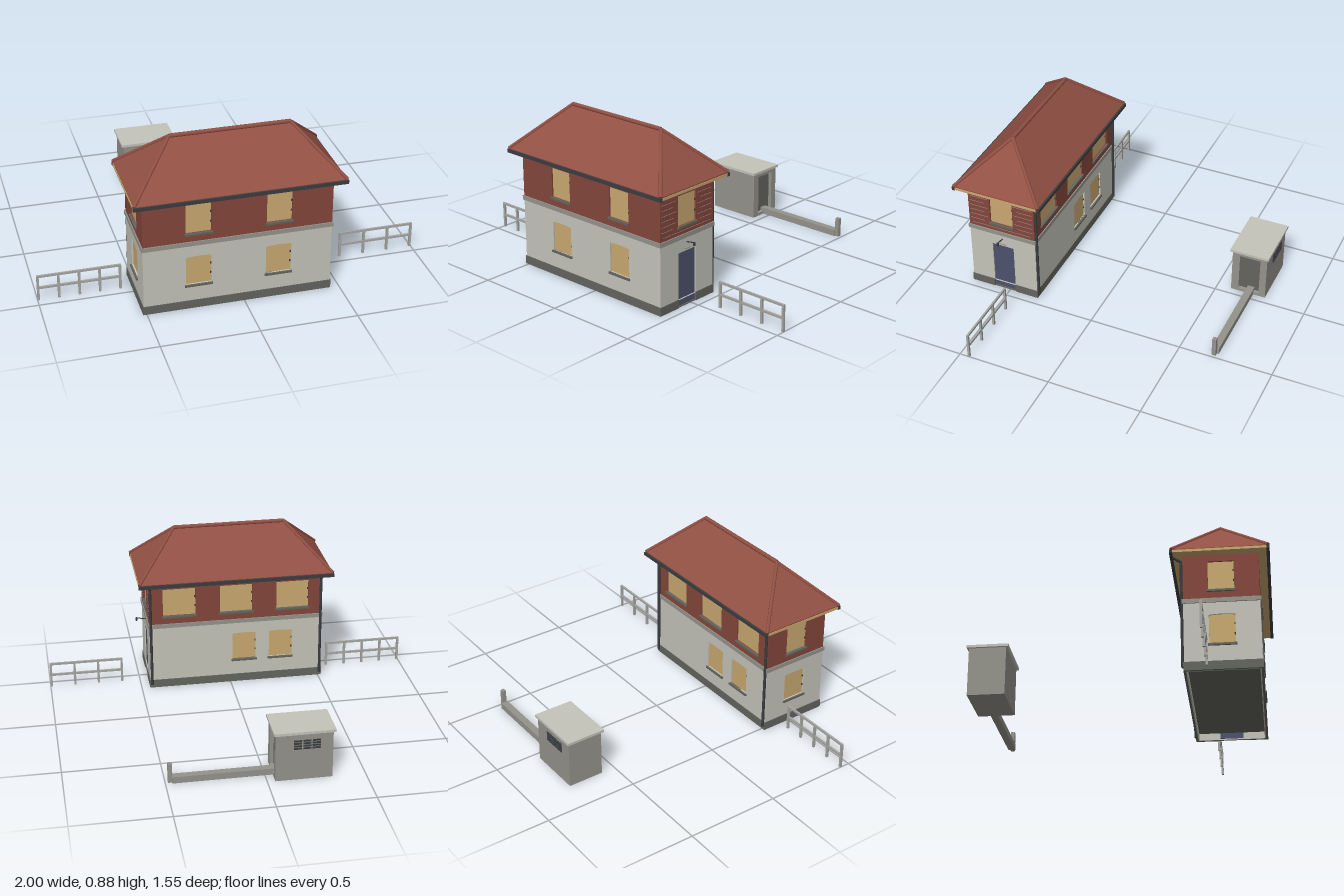
import * as THREE from 'three';

const material = (name, color) => new THREE.MeshStandardMaterial({ name, color });

export function createModel() {
  const model = new THREE.Group();
  model.name = 'trackside building';
  const wall = material('pale render', 0xc4c4ba);
  const brick = material('red brick', 0x84463b);
  const tile = material('roof tile', 0x925044);
  const board = material('tan board', 0xc9a870);
  const blue = material('door blue', 0x4d526d);
  const dark = material('dark metal', 0x3a3d40);
  const base = material('dark concrete', 0x63655e);
  const stone = material('grey stone', 0x94938b);
  const steel = material('light steel', 0xa6a6a2);

  // Box given by its limits on each axis
  function box(name, mat, x0, x1, y0, y1, z0, z1, parent = model) {
    const mesh = new THREE.Mesh(new THREE.BoxGeometry(x1 - x0, y1 - y0, z1 - z0), mat);
    mesh.position.set((x0 + x1) / 2, (y0 + y1) / 2, (z0 + z1) / 2);
    mesh.name = name;
    parent.add(mesh);
    return mesh;
  }
  // Round bar between two points
  function bar(name, mat, a, b, r, parent = model) {
    const p = new THREE.Vector3(...a), q = new THREE.Vector3(...b);
    const mesh = new THREE.Mesh(new THREE.CylinderGeometry(r, r, p.distanceTo(q), 8), mat);
    mesh.position.copy(p).lerp(q, 0.5);
    mesh.quaternion.setFromUnitVectors(new THREE.Vector3(0, 1, 0), q.sub(p).normalize());
    mesh.name = name;
    parent.add(mesh);
  }

  const X0 = -0.515, X1 = 0.45, Z0 = 0.338, Z1 = 0.718;
  const CX = (X0 + X1) / 2, CZ = (Z0 + Z1) / 2, T = 0.02;

  // Wall panel with openings; local z = 0 is its outer face
  function panel(side, name, mat, width, y0, y1, openings) {
    const h = width / 2;
    const shape = new THREE.Shape([[-h, y0], [h, y0], [h, y1], [-h, y1]].map(p => new THREE.Vector2(...p)));
    for (const o of openings) {
      const hole = new THREE.Path();
      hole.moveTo(o.u - o.w / 2, o.y0);
      hole.lineTo(o.u - o.w / 2, o.y1 - o.arch);
      hole.quadraticCurveTo(o.u, o.y1 + o.arch, o.u + o.w / 2, o.y1 - o.arch);
      hole.lineTo(o.u + o.w / 2, o.y0);
      hole.closePath();
      shape.holes.push(hole);
    }
    const geo = new THREE.ExtrudeGeometry(shape, { depth: T, bevelEnabled: false, curveSegments: 6 });
    const mesh = new THREE.Mesh(geo.translate(0, 0, -T), mat);
    mesh.name = name;
    side.add(mesh);
  }
  const upper = (u, w = 0.13) => ({ u, w, y0: 0.43, y1: 0.587, arch: 0 });
  const lower = u => ({ u, w: 0.13, y0: 0.138, y1: 0.297, arch: 0.004 });
  const door = { u: 0, w: 0.124, y0: 0.042, y1: 0.29, arch: 0, door: true };

  const sides = [
    { name: 'front', pos: [CX, 0, Z1], rot: 0, width: X1 - X0,
      up: [upper(-0.2025), upper(0.2075)], low: [lower(-0.2025), lower(0.2075)] },
    { name: 'back', pos: [CX, 0, Z0], rot: Math.PI, width: X1 - X0,
      up: [-0.315, 0, 0.315].map(u => upper(u, 0.18)), low: [lower(0.045), lower(0.25)] },
    { name: 'doorEnd', pos: [X1, 0, CZ], rot: Math.PI / 2, width: Z1 - Z0 - 2 * T, up: [upper(0)], low: [door] },
    { name: 'plainEnd', pos: [X0, 0, CZ], rot: -Math.PI / 2, width: Z1 - Z0 - 2 * T, up: [upper(0)], low: [lower(0)] },
  ];
  for (const s of sides) {
    const side = new THREE.Group();
    side.name = s.name + 'Wall';
    side.position.set(...s.pos);
    side.rotation.y = s.rot;
    model.add(side);
    panel(side, 'lowerWall', wall, s.width, 0.04, 0.37, s.low);
    panel(side, 'upperWall', brick, s.width, 0.37, 0.635, s.up);
    for (const o of [...s.up, ...s.low]) {
      const l = o.u - o.w / 2, r = o.u + o.w / 2;
      if (o.door) {
        box('door', blue, l, r, 0.006, o.y1 + 0.002, -0.018, -0.006, side);
        box('doorLintel', stone, -0.02, 0.02, 0.3, 0.304, 0, 0.004, side);
        continue;
      }
      // Boarded window, sill and small fixings
      box('windowBoard', board, l - 0.003, r + 0.003, o.y0 - 0.003, o.y1 + 0.005, -0.018, -0.008, side);
      box('windowSill', base, l - 0.006, r + 0.006, o.y0 - 0.011, o.y0, -0.008, 0.009, side);
      for (const t of [0.3, 0.65])
        box('boardFixing', dark, r - 0.006, r, o.y0 + 0.157 * t, o.y0 + 0.157 * t + 0.01, -0.009, -0.004, side);
    }
  }

  // Broken mortar lines on the door end
  for (let i = 0; i < 8; i++) {
    const y = 0.4 + i * 0.028, shift = (i % 2) * 0.02;
    const spans = y > 0.41 && y < 0.6 ? [[Z0 + 0.01, 0.455 - shift], [0.605 + shift, Z1 - 0.01]]
      : [[Z0 + 0.02 + shift, Z1 - 0.02]];
    for (const [a, b] of spans) box('mortarLine', stone, X1, X1 + 0.001, y, y + 0.0025, a, b);
  }

  // Projecting band between the storeys, as a frame
  function frame(name, mat, out, t, y0, y1) {
    const x0 = X0 - out, x1 = X1 + out, z0 = Z0 - out, z1 = Z1 + out;
    box(name, mat, x0, x1, y0, y1, z1 - t, z1);
    box(name, mat, x0, x1, y0, y1, z0, z0 + t);
    box(name, mat, x0, x0 + t, y0, y1, z0 + t, z1 - t);
    return [x1 - t, x1, y0, y1, z0 + t, z1 - t];
  }
  box('storeyBand', stone, ...frame('storeyBand', stone, 0.006, 0.012, 0.36, 0.383));

  // Plinth, open at the doorway, with a pale inner lining and raised floor
  const [px0, px1, py0, py1, pz0, pz1] = frame('plinth', base, 0.004, 0.012, 0, 0.045);
  box('plinth', base, px0, px1, py0, py1, pz0, 0.466);
  box('plinth', base, px0, px1, py0, py1, 0.59, pz1);
  box('doorStep', base, px0, px1 - 0.004, 0, 0.006, 0.466, 0.59);
  box('plinthLining', wall, ...frame('plinthLining', wall, -0.008, 0.006, 0, 0.04));
  box('floor', base, X0 + 0.005, X1 - 0.02, 0.036, 0.044, Z0 + 0.005, Z1 - 0.005);

  // Hipped roof
  const ex0 = -0.562, ex1 = 0.502, ez0 = 0.285, ez1 = 0.768, ey = 0.643, ry = 0.873, rz = 0.527;
  const A = [ex0, ey, ez1], B = [ex1, ey, ez1], C = [ex1, ey, ez0], D = [ex0, ey, ez0];
  const R0 = [-0.33, ry, rz], R1 = [0.28, ry, rz];
  const roofGeo = new THREE.BufferGeometry();
  const tris = [A, B, R1, A, R1, R0, C, D, R0, C, R0, R1, B, C, R1, D, A, R0];
  roofGeo.setAttribute('position', new THREE.Float32BufferAttribute(tris.flat(), 3));
  roofGeo.computeVertexNormals();
  const roof = new THREE.Mesh(roofGeo, tile);
  roof.name = 'roof';
  model.add(roof);
  box('roofEdge', tile, ex0, ex1, 0.636, ey, ez0, ez1);
  bar('ridgeCap', tile, R0, R1, 0.011);
  for (const [a, b] of [[A, R0], [D, R0], [B, R1], [C, R1]]) bar('hipCap', tile, a, b, 0.009);
  box('soffit', board, ex0 - 0.003, ex1 + 0.003, 0.624, 0.637, ez0 + 0.002, ez1 - 0.002);
  for (const z of [ez0, ez1]) box('gutter', dark, ex0 - 0.005, ex1 + 0.005, 0.621, 0.64, z - 0.009, z + 0.007);

  // Downpipes at the back corners
  for (const x of [X0 + 0.008, X1 - 0.008]) {
    bar('downpipe', dark, [x, 0.02, Z0 - 0.007], [x, 0.6, Z0 - 0.007], 0.0075);
    bar('downpipeElbow', dark, [x, 0.597, Z0 - 0.007], [x, 0.627, ez0], 0.0075);
  }

  // Lamp over the door
  bar('lampArm', dark, [X1, 0.335, 0.53], [X1 + 0.05, 0.343, 0.53], 0.003);
  bar('lampHead', dark, [X1 + 0.05, 0.328, 0.53], [X1 + 0.05, 0.345, 0.53], 0.006);

  // Railings
  function railing(x0, x1, bays) {
    const g = new THREE.Group();
    g.name = 'railing';
    model.add(g);
    for (let i = 0; i <= bays; i++) {
      const x = x0 + (x1 - x0) * i / bays;
      box('railPost', steel, x - 0.006, x + 0.006, 0, 0.137, 0.444, 0.456, g);
    }
    for (const y of [0.07, 0.136])
      box('rail', steel, x0 - 0.006, x1 + 0.006, y - 0.006, y + 0.006, 0.445, 0.455, g);
  }
  railing(-0.994, -0.575, 4);
  railing(0.6, 0.994, 3);

  // Equipment hut with a recessed doorway
  box('hutBody', stone, -0.33, -0.065, 0, 0.258, -0.768, -0.576);
  box('hutFront', stone, -0.065, -0.04, 0, 0.258, -0.768, -0.731);
  box('hutFront', stone, -0.065, -0.04, 0, 0.258, -0.617, -0.576);
  box('hutFront', stone, -0.065, -0.04, 0.235, 0.258, -0.731, -0.617);
  box('hutFront', stone, -0.065, -0.04, 0, 0.016, -0.731, -0.617);
  box('hutDoor', base, -0.066, -0.06, 0.016, 0.235, -0.731, -0.617);
  box('hutRoof', wall, -0.342, -0.03, 0.257, 0.271, -0.778, -0.564);
  // Vent slots at the back of the hut
  for (let i = 0; i < 4; i++) for (const x of [-0.265, -0.218, -0.171])
    box('ventSlot', dark, x, x + 0.04, 0.172 + i * 0.014, 0.18 + i * 0.014, -0.773, -0.767);

  // Cable duct and its upright end
  box('cableDuct', stone, -0.065, 0.466, 0, 0.035, -0.702, -0.664);
  box('ductUpright', stone, 0.464, 0.486, 0, 0.105, -0.692, -0.67);
  return model;
}
